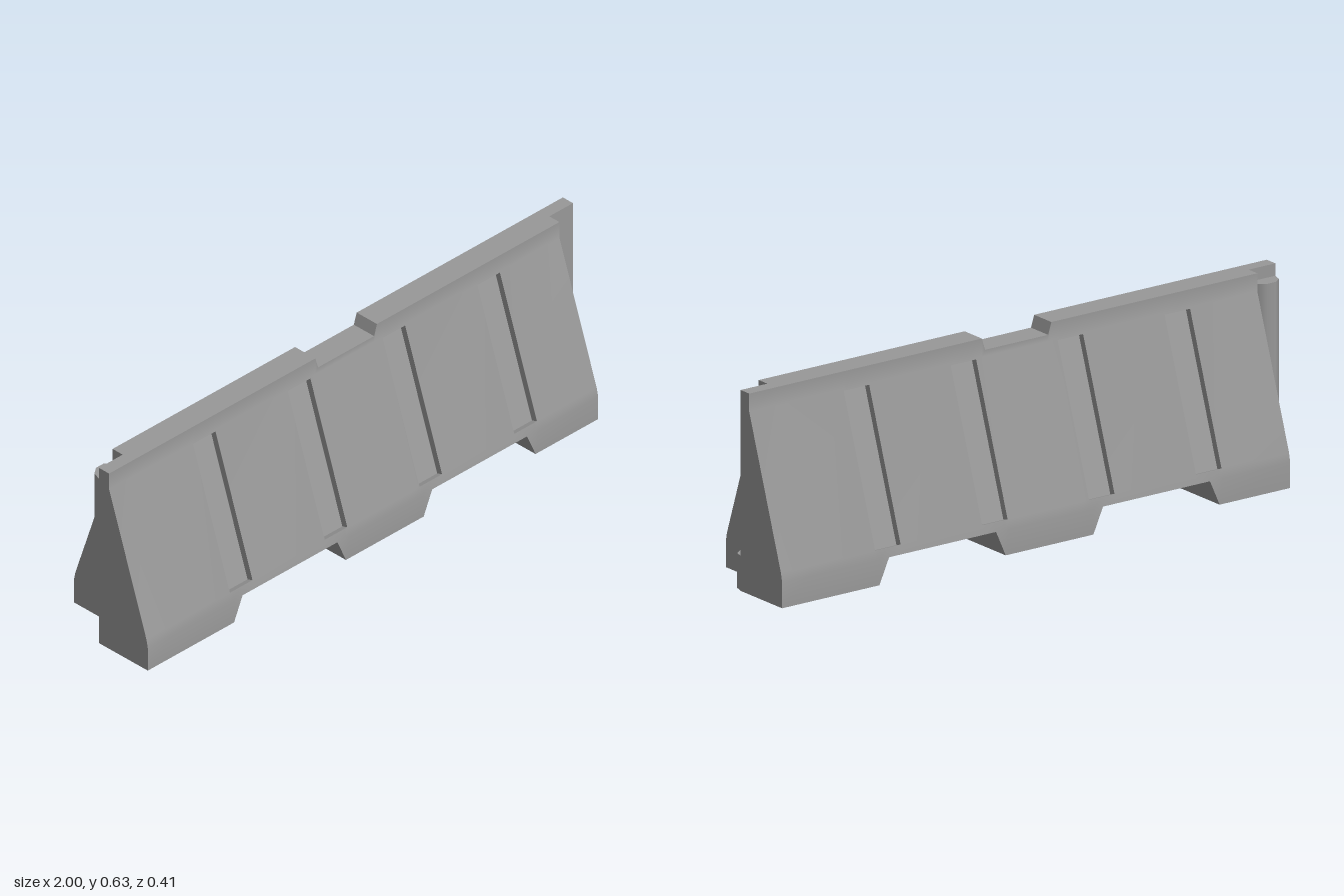
import * as THREE from 'three';
import { toCreasedNormals } from 'three/addons/utils/BufferGeometryUtils.js';

const SLOTS = [-0.6, -0.2, 0.2, 0.6];
const SLOT_HALF = 0.0475, SLOT_DEPTH = 0.022;
const ARCH_TOP = 0.081, TOP = 0.633, NOTCH = 0.595;

// height between a and b as t runs from t0 to t1
const ramp = (t, t0, t1, a, b) => a + (b - a) * THREE.MathUtils.clamp((t - t0) / (t1 - t0), 0, 1);

// underside: two arches between three feet
function bottomY(x) {
  const d = Math.abs(Math.abs(x) - 0.4);
  return ramp(d, 0.2, 0.236, ARCH_TOP, 0);
}

// top edge: shallow lifting notch in the middle
const topY = (x) => ramp(Math.abs(x), 0.118, 0.13, NOTCH, TOP);

// half cross-section as [y, z], from the centre line round to the top
function profile(x, recessed) {
  const low = [0.11, 0.201], high = [0.572, 0.0444];
  const dy = high[0] - low[0], dz = high[1] - low[1], len = Math.hypot(dy, dz);
  const depth = recessed ? SLOT_DEPTH : 0;
  const inset = ([y, z]) => [y + (dz / len) * depth, z - (dy / len) * depth];
  return [
    [bottomY(x), 0], [bottomY(x), 0.207], [ARCH_TOP, 0.207],
    low, inset(low), inset(high), high,
    [0.576, 0.043], [topY(x), 0.043], [topY(x), 0],
  ].map(([y, z]) => new THREE.Vector3(x, y, z));
}

// one half of the wall, swept along x with changing cross-sections
function wallGeometry() {
  const stations = [-1, -0.9, 0.9].map((x) => ({ x, order: 0, recessed: false }));
  for (const x of [0.118, 0.13, 0.164, 0.2, 0.6, 0.636]) {
    for (const s of [-x, x]) {
      const recessed = SLOTS.some((c) => Math.abs(s - c) < SLOT_HALF);
      stations.push({ x: s, order: 0, recessed });
    }
  }
  for (const c of SLOTS) {
    // doubled sections make the slot side walls
    stations.push({ x: c - SLOT_HALF, order: 0, recessed: false }, { x: c - SLOT_HALF, order: 1, recessed: true });
    stations.push({ x: c + SLOT_HALF, order: 0, recessed: true }, { x: c + SLOT_HALF, order: 1, recessed: false });
  }
  stations.sort((a, b) => a.x - b.x || a.order - b.order);

  const points = [];
  const tri = new THREE.Triangle();
  const face = (a, b, c) => {
    if (tri.set(a, b, c).getArea() > 1e-7) points.push(a, b, c);
  };
  const rings = stations.map((s) => profile(s.x, s.recessed));
  const n = rings[0].length;
  for (let i = 0; i < rings.length - 1; i++) {
    const p = rings[i], q = rings[i + 1];
    // the centre face is only exposed on the overlapping end
    const sides = i === 0 ? n : n - 1;
    for (let j = 0; j < sides; j++) {
      const k = (j + 1) % n;
      face(p[j], q[j], q[k]);
      face(p[j], q[k], p[k]);
    }
  }
  // end caps
  const first = rings[0], last = rings[rings.length - 1];
  for (let j = 1; j < n - 1; j++) {
    face(first[0], first[j], first[j + 1]);
    face(last[0], last[j + 1], last[j]);
  }
  return toCreasedNormals(new THREE.BufferGeometry().setFromPoints(points), 0.5);
}

export function createModel() {
  const material = new THREE.MeshStandardMaterial({ color: 0x989898 });
  const barrier = new THREE.Group();
  barrier.name = 'roadBarrier';

  const add = (name, geometry) => {
    const mesh = new THREE.Mesh(geometry, material);
    mesh.name = name;
    barrier.add(mesh);
    return mesh;
  };

  // two identical halves, offset lengthwise so that the ends overlap
  const wall = wallGeometry();
  add('frontWall', wall);
  add('backWall', wall).rotation.y = Math.PI;

  // five-sided half-round interlocking pieces on the overlapping ends
  const halfRound = (y0, y1) => new THREE.CylinderGeometry(0.05, 0.05, y1 - y0, 5, 1, false, -Math.PI / 2, Math.PI)
    .translate(0.95, (y0 + y1) / 2, 0);
  add('lowerConnector', halfRound(0, 0.11));
  add('upperConnector', halfRound(0.115, 0.594)).rotation.y = Math.PI;

  return barrier;
}
